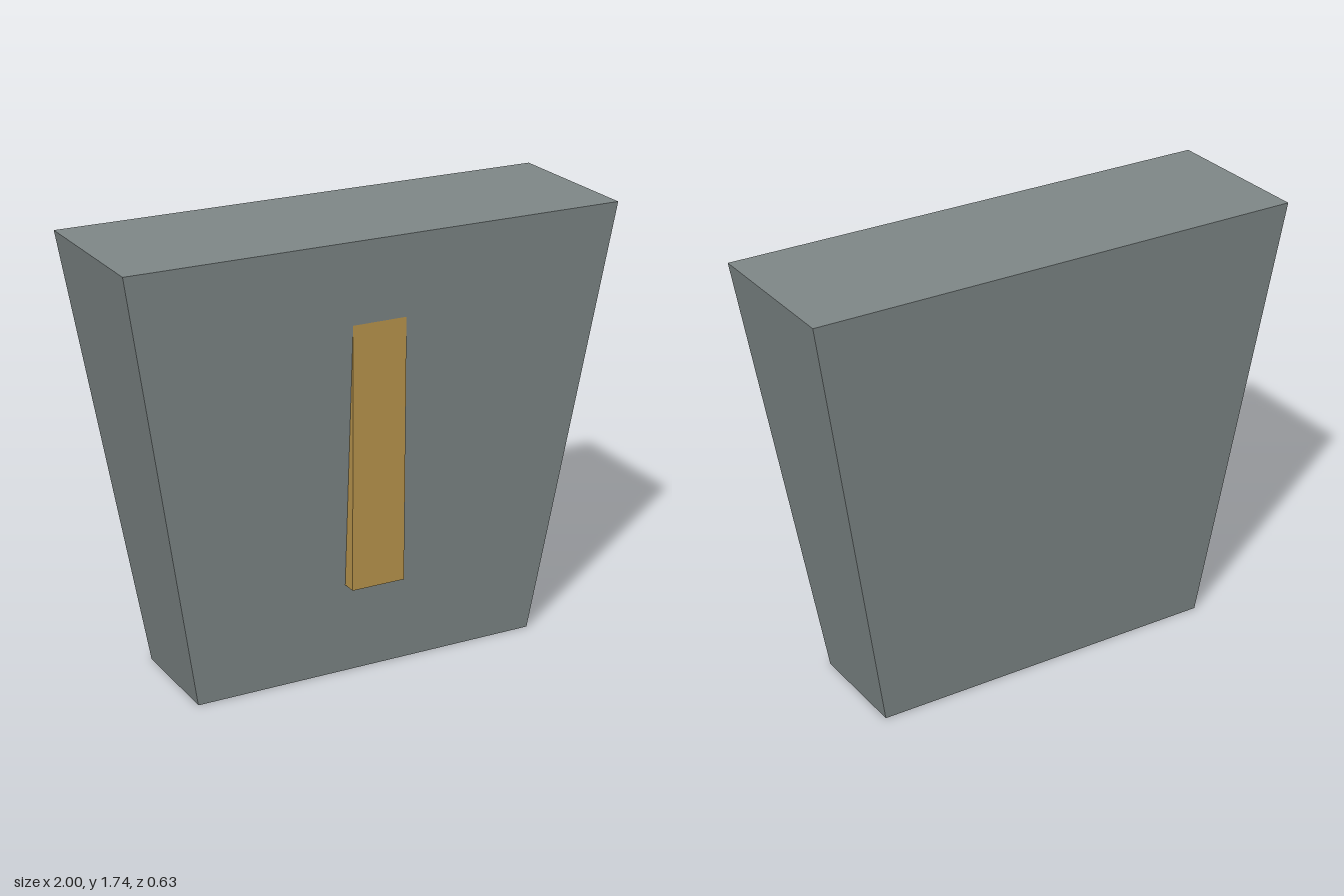
import * as THREE from 'three';

const HEIGHT = 1.735;

function addMesh(group, name, geometry, color) {
  const mesh = new THREE.Mesh(geometry, new THREE.MeshStandardMaterial({ color }));
  mesh.name = name;
  group.add(mesh);
  return mesh;
}

// Box whose lower face is narrowed in x and z
function taperedBox(width, height, depth, scaleX, scaleZ) {
  const geometry = new THREE.BoxGeometry(width, height, depth);
  const p = geometry.attributes.position;
  for (let i = 0; i < p.count; i++) {
    if (p.getY(i) < 0) {
      p.setX(i, p.getX(i) * scaleX);
      p.setZ(i, p.getZ(i) * scaleZ);
    }
  }
  geometry.translate(0, height / 2, 0);
  geometry.computeVertexNormals();
  return geometry;
}

export function createModel() {
  const model = new THREE.Group();
  model.name = 'taperedBlock';

  // Block that widens towards the top
  addMesh(model, 'body', taperedBox(2, HEIGHT, 0.63, 0.716, 0.689), 0x7f8888);

  // Upright strip, sinking into the sloped front towards its top
  const bottom = 0.37, top = 1.46, front = 0.297, back = 0.2;
  const strip = addMesh(model, 'frontStrip',
    new THREE.BoxGeometry(0.22, top - bottom, front - back), 0xb8944c);
  strip.position.set(0, (bottom + top) / 2, (front + back) / 2);

  return model;
}
